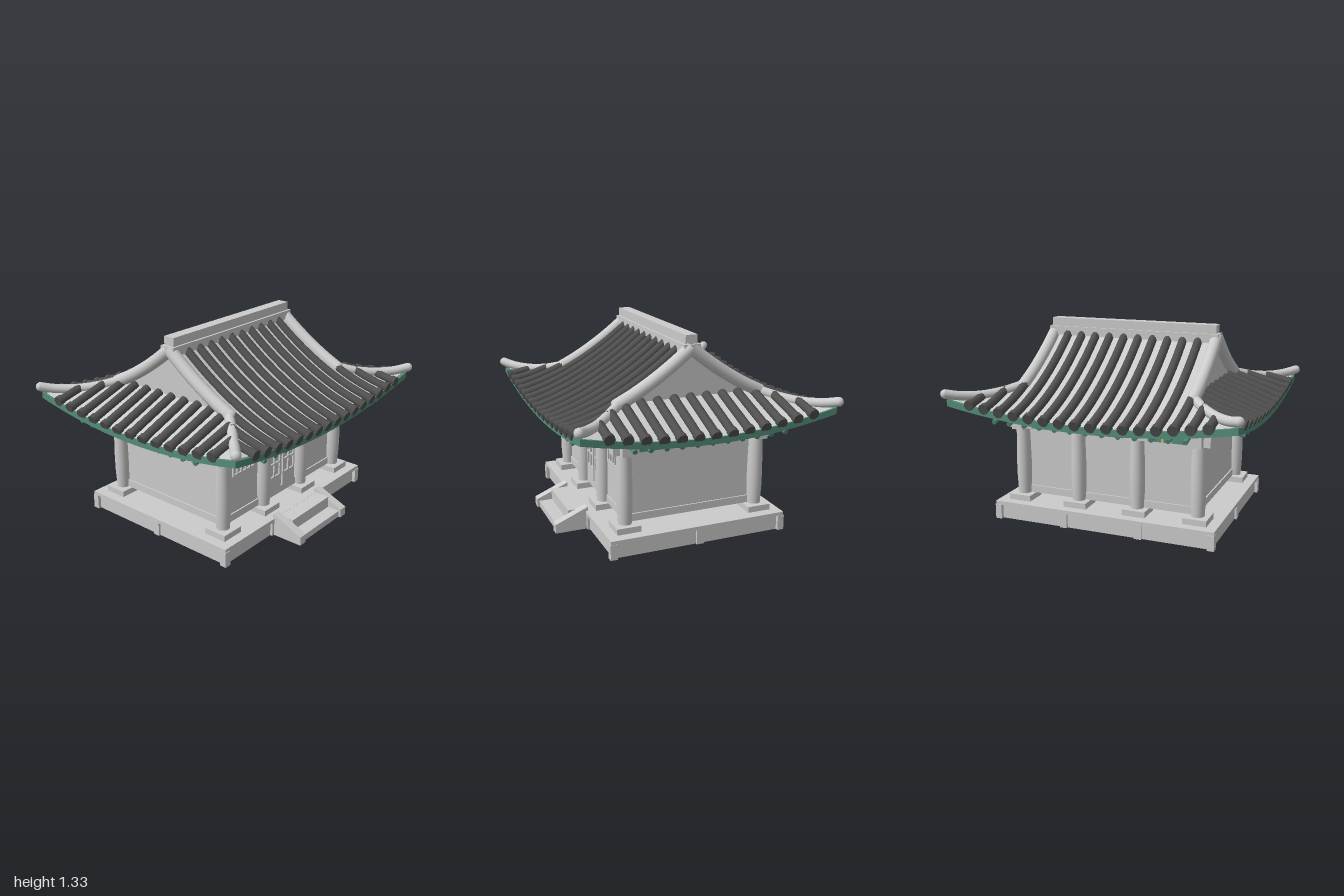
import * as THREE from 'three';

const mat = (name, color, side = THREE.FrontSide) => {
  const m = new THREE.MeshStandardMaterial({ color, side });
  m.name = name;
  return m;
};

export function createModel() {
  const pale = mat('pale stone', 0xcccccc, THREE.DoubleSide);
  const dark = mat('dark tile', 0x505050, THREE.DoubleSide);
  const green = mat('painted green', 0x548c78, THREE.DoubleSide);
  const gold = mat('gold trim', 0xd2b468);
  const brown = mat('brown timber', 0x7a5a46);
  const root = new THREE.Group();

  const add = (name, geo, m, x = 0, y = 0, z = 0, parent = root) => {
    const mesh = new THREE.Mesh(geo, m);
    mesh.name = name;
    mesh.position.set(x, y, z);
    parent.add(mesh);
    return mesh;
  };
  // box given by x centre, bottom and top, z centre
  const box = (name, m, w, d, y0, y1, x = 0, z = 0, parent = root) =>
    add(name, new THREE.BoxGeometry(w, y1 - y0, d), m, x, (y0 + y1) / 2, z, parent);
  // grid surface from a rule f(u, v) -> [x, y, z]
  const sheet = (f, nu, nv, flat = false) => {
    const pos = [], idx = [];
    for (let j = 0; j <= nv; j++) for (let i = 0; i <= nu; i++) pos.push(...f(i / nu, j / nv));
    for (let j = 0; j < nv; j++) for (let i = 0; i < nu; i++) {
      const a = j * (nu + 1) + i, b = a + nu + 1;
      idx.push(a, b, a + 1, a + 1, b, b + 1);
    }
    let g = new THREE.BufferGeometry();
    g.setAttribute('position', new THREE.Float32BufferAttribute(pos, 3));
    g.setIndex(idx);
    if (flat) g = g.toNonIndexed();
    g.computeVertexNormals();
    return g;
  };
  const tube = (pts, r, seg, radial) => new THREE.TubeGeometry(
    new THREE.CatmullRomCurve3(pts.map(p => new THREE.Vector3(...p))), seg, r, radial);

  // Platform with cap slab and edge posts
  box('platform', pale, 1.51, 1.17, 0, 0.1);
  box('platformCap', pale, 1.55, 1.21, 0.1, 0.125);
  for (const s of [-1, 1]) {
    for (const t of [-1, 1]) {
      box('platformCornerPost', pale, 0.045, 0.045, 0, 0.102, s * 0.755, t * 0.587);
      box('platformPost', pale, 0.05, 0.04, 0, 0.1, s * 0.265, t * 0.582);
    }
    box('platformPost', pale, 0.04, 0.05, 0, 0.1, s * 0.75, 0);
  }

  // Front stairs
  box('lowerStep', pale, 0.42, 0.21, 0, 0.045, 0, 0.695);
  box('upperStep', pale, 0.42, 0.13, 0, 0.124, 0, 0.645);
  const rail = new THREE.Shape([[0.59, 0], [0.815, 0], [0.815, 0.06], [0.595, 0.153], [0.59, 0.153]]
    .map(p => new THREE.Vector2(...p)));
  for (const x of [-0.21, 0.27]) {
    const g = new THREE.ExtrudeGeometry(rail, { depth: 0.06, bevelEnabled: false });
    add('stairSide', g.rotateY(-Math.PI / 2).translate(0.06, 0, 0), pale, x - 0.06, 0, 0);
  }

  // Walls and sill
  box('walls', pale, 1.22, 0.89, 0.165, 0.735);
  box('wallSill', pale, 1.24, 0.91, 0.165, 0.215);

  // Columns with footings and crossed bracket blocks
  const columnProfile = [[0.044, 0.165], [0.05, 0.28], [0.051, 0.4], [0.047, 0.56], [0.042, 0.73]]
    .map(p => new THREE.Vector2(...p));
  const columnGeo = new THREE.LatheGeometry(columnProfile, 24);
  for (const z of [-0.46, 0.46]) for (const x of [-0.625, -0.21, 0.21, 0.625]) {
    box('columnFooting', pale, 0.16, 0.16, 0.125, 0.165, x, z);
    add('column', columnGeo, pale, x, 0, z);
    box('bracketAlong', pale, 0.17, 0.08, 0.63, 0.73, x, z);
    if (Math.abs(x) > 0.5) box('bracketAcross', pale, 0.08, 0.17, 0.63, 0.73, x, z);
  }

  // Green frieze panels with paired gold stripes
  const frieze = (w, x, z, ry) => {
    const g = new THREE.Group();
    g.name = 'frieze';
    box('friezePanel', green, w, 0.06, 0.63, 0.73, 0, 0, g);
    for (const s of [-1, 1]) box('friezeStripe', gold, 0.016, 0.008, 0.632, 0.73, s * 0.026, 0.031, g);
    g.position.set(x, 0, z);
    g.rotation.y = ry;
    root.add(g);
  };
  for (const s of [-1, 1]) {
    const ry = s > 0 ? 0 : Math.PI;
    for (const x of [-0.4175, 0, 0.4175]) frieze(0.245, x, s * 0.455, ry);
    frieze(0.75, s * 0.62, 0, s * Math.PI / 2);
  }
  box('wallPlate', brown, 1.36, 1.03, 0.73, 0.75);

  // Lattice door leaves and windows
  const lattice = (name, w, h, cols, rows, x, y, bar) => {
    const shape = new THREE.Shape([[0, 0], [w, 0], [w, h], [0, h]].map(p => new THREE.Vector2(...p)));
    const cw = (w - bar) / cols, ch = (h - bar) / rows;
    for (let i = 0; i < cols; i++) for (let j = 0; j < rows; j++) {
      const a = bar + i * cw, b = bar + j * ch, c = a + cw - bar, d = b + ch - bar;
      shape.holes.push(new THREE.Path([[a, b], [a, d], [c, d], [c, b]].map(p => new THREE.Vector2(...p))));
    }
    add(name, new THREE.ExtrudeGeometry(shape, { depth: 0.012, bevelEnabled: false }), pale, x - w / 2, y, 0.445);
  };
  for (const s of [-1, 1]) {
    lattice('doorLattice', 0.135, 0.31, 2, 3, s * 0.08, 0.3, 0.012);
    box('doorPanel', pale, 0.135, 0.02, 0.215, 0.3, s * 0.08, 0.447);
    lattice('windowLattice', 0.22, 0.14, 5, 1, s * 0.41, 0.475, 0.012);
  }

  // Curved roof rules: main slopes, side skirts and the eave lift
  const yF = (x, z) => {
    const t = Math.abs(z) / 0.83;
    return 1.24 - 0.69 * t + 0.225 * t * t + 0.09 * (x / 0.96) ** 2 * t * t;
  };
  const yS = (x, z) => {
    const s = (Math.abs(x) - 0.6) / 0.36;
    return 0.915 - 0.14 * s + 0.09 * (z / 0.83) ** 2 * Math.max(s, 0);
  };
  const halfX = z => 0.6 + Math.max(0, z - 0.49) / 0.34 * 0.36;

  for (const s of [-1, 1]) {
    for (const [name, dy] of [['roof', 0], ['soffit', -0.028]]) {
      add(name + 'Slope', sheet((u, v) => {
        const z = v * 0.835, x = (u * 2 - 1) * halfX(z);
        return [x, yF(x, z) + dy, s * z];
      }, 24, 24), pale);
      add(name + 'Skirt', sheet((u, v) => {
        const x = 0.56 + v * 0.395, z = (u * 2 - 1) * (0.49 + Math.max(0, x - 0.6) / 0.36 * 0.34);
        return [s * x, yS(x, z) + dy, z];
      }, 24, 8), pale);
    }
    // Triangular gable wall
    add('gableWall', sheet((u, v) => {
      const z = (u * 2 - 1) * 0.49;
      return [s * 0.57, 0.88 + v * (yF(0.57, z) - 0.88), z];
    }, 16, 1), pale);
    // Green eave boards, swept rectangles
    const ring = [[0, 0.002], [1, 0.002], [1, -0.04], [0, -0.04], [0, 0.002]];
    add('eaveBoardLong', sheet((u, v) => {
      const [o, h] = ring[Math.round(v * 4)], x = (u * 2 - 1) * 0.965;
      return [x, yF(x, 0.83) + h, s * (0.815 + o * 0.025)];
    }, 24, 4, true), green);
    add('eaveBoardShort', sheet((u, v) => {
      const [o, h] = ring[Math.round(v * 4)], z = (u * 2 - 1) * 0.84;
      return [s * (0.94 + o * 0.025), yS(0.96, z) + h, z];
    }, 24, 4, true), green);
  }

  // Rows of round tiles, each with an end cap
  const roundTile = (pts) => {
    add('roofTile', tube(pts, 0.029, 12, 10), dark);
    const a = new THREE.Vector3(...pts[pts.length - 2]), b = new THREE.Vector3(...pts[pts.length - 1]);
    const cap = add('tileCap', new THREE.CylinderGeometry(0.035, 0.035, 0.035, 10), dark, b.x, b.y, b.z);
    cap.quaternion.setFromUnitVectors(new THREE.Vector3(0, 1, 0), b.sub(a).normalize());
  };
  const path = (from, to, f) => Array.from({ length: 6 }, (_, i) => f(from + (to - from) * i / 5));
  for (const s of [-1, 1]) {
    for (let i = 0; i < 16; i++) {
      const x = (i - 7.5) * 0.1057, ax = Math.abs(x);
      const start = ax < 0.55 ? 0.03 : Math.max(0.49, 0.49 + (ax - 0.6) * 0.97);
      roundTile(path(start, 0.835, z => [x, yF(x, z) + 0.012, s * z]));
    }
    for (let i = -6; i <= 6; i++) {
      const z = i * 0.1115, start = Math.max(0.58, 0.6 + (Math.abs(z) - 0.49) * 1.03);
      roundTile(path(start, 0.955, x => [s * x, yS(x, z) + 0.012, z]));
    }
  }

  // Green rafters under the eaves
  const rafter = (a, b) => {
    const p = new THREE.Vector3(...a), q = new THREE.Vector3(...b), mid = p.clone().add(q).multiplyScalar(0.5);
    const m = add('rafter', new THREE.CylinderGeometry(0.016, 0.016, p.distanceTo(q), 8), green, mid.x, mid.y, mid.z);
    m.quaternion.setFromUnitVectors(new THREE.Vector3(0, 1, 0), q.sub(p).normalize());
  };
  for (const s of [-1, 1]) {
    for (let i = -6; i <= 6; i++) {
      const x = i * 0.107, h = 0.03 * (x / 0.96) ** 2;
      rafter([x, 0.81 + h, s * 0.48], [x, 0.725 + h, s * 0.8]);
    }
    for (let i = -5; i <= 5; i++) {
      const z = i * 0.1, h = 0.03 * (z / 0.83) ** 2;
      rafter([s * 0.62, 0.8 + h, z], [s * 0.925, 0.725 + h, z]);
    }
  }

  // Main ridge
  box('ridgeBase', pale, 1.23, 0.11, 1.21, 1.27);
  box('ridgeCap', pale, 1.195, 0.08, 1.265, 1.328);

  // Gable ridges and upturned hip ridges
  for (const sx of [-1, 1]) for (const sz of [-1, 1]) {
    add('gableRidge', tube(path(0, 0.49, z => [sx * 0.592, yF(0.59, z) + 0.005, sz * z]), 0.042, 12, 16), pale);
    add('gableRidgeEnd', new THREE.SphereGeometry(0.042, 16, 10), pale, sx * 0.592, yF(0.59, 0.49) + 0.005, sz * 0.49);
    const hip = [[0.592, 0.932, 0.48], [0.69, 0.898, 0.585], [0.8, 0.882, 0.69], [0.9, 0.889, 0.785], [0.97, 0.907, 0.846]];
    add('hipRidge', tube(hip.map(([x, y, z]) => [sx * x, y, sz * z]), 0.031, 16, 14), pale);
    add('hipRidgeTip', new THREE.SphereGeometry(0.031, 14, 10), pale, sx * 0.97, 0.907, sz * 0.846);
  }
  return root;
}
